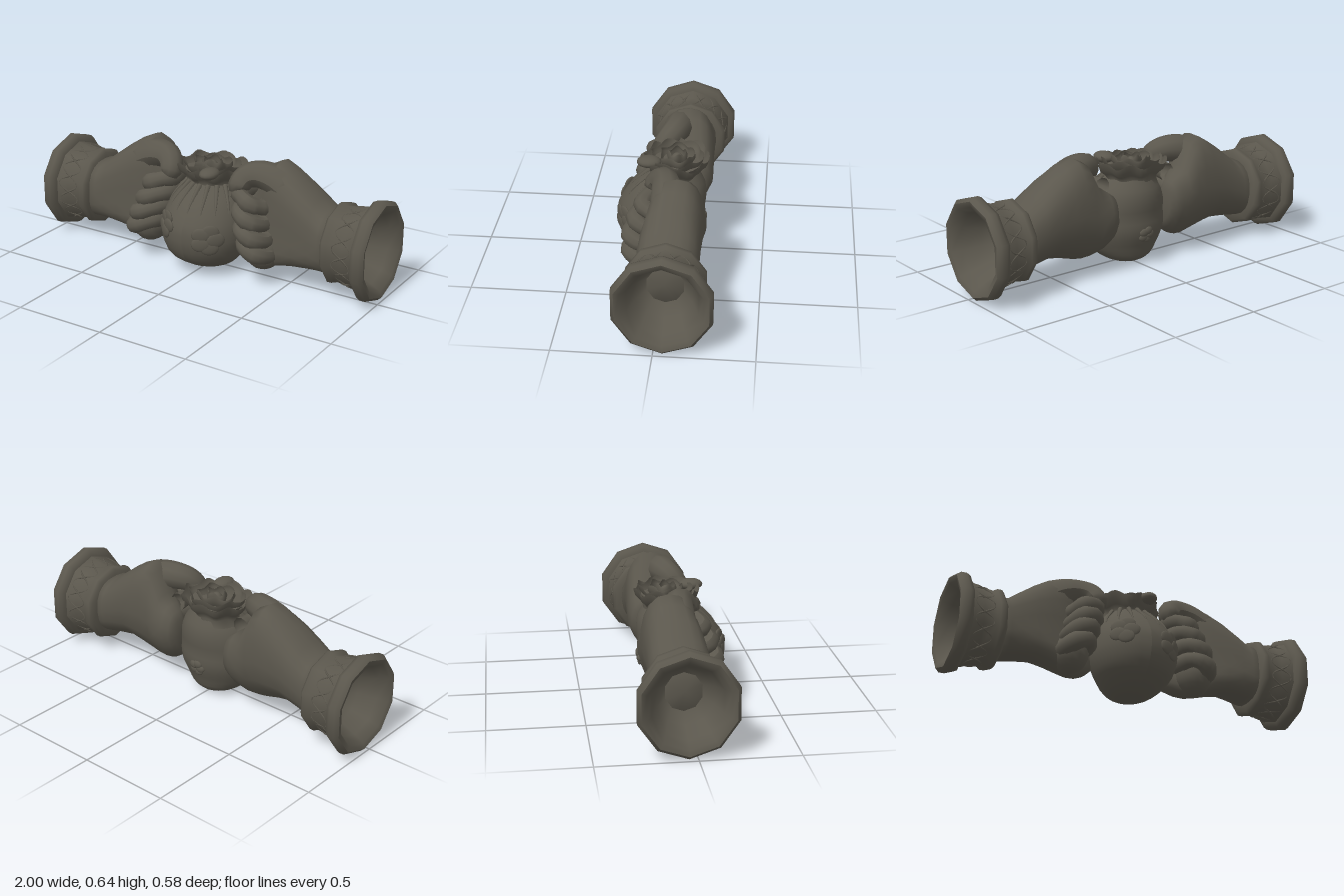
import * as THREE from 'three';
import { toCreasedNormals, mergeVertices } from 'three/addons/utils/BufferGeometryUtils.js';

const stone = new THREE.MeshStandardMaterial({ color: 0x5b574d, side: THREE.DoubleSide });
stone.name = 'dark stone';

const add = (parent, name, geometry) => {
  const mesh = new THREE.Mesh(geometry, stone);
  mesh.name = name;
  parent.add(mesh);
  return mesh;
};

// Skin running along x through rounded sections [x, yCentre, zCentre, yRadius, zRadius],
// with the underside leaning forward
function loft(sections, side, n = 20) {
  const pos = [], index = [];
  const ends = [sections[0], ...sections, sections[sections.length - 1]];
  ends.forEach(([x, y, z, ry, rz], k) => {
    const s = k === 0 || k === ends.length - 1 ? 0 : 1;
    for (let i = 0; i < n; i++) {
      const a = i / n * Math.PI * 2, c = Math.cos(a), d = Math.sin(a);
      const py = y + s * ry * Math.sign(d) * Math.abs(d) ** 0.8;
      const lean = 0.4 * Math.max(0, 0.28 - py) * Math.min(1, Math.max(0, (0.75 - x) / 0.2));
      pos.push(side * x, py, z + lean + s * rz * Math.sign(c) * Math.abs(c) ** 0.8);
    }
  });
  for (let k = 0; k < ends.length - 1; k++) {
    for (let i = 0; i < n; i++) {
      const a = k * n + i, b = k * n + (i + 1) % n, c = a + n, d = b + n;
      if (side > 0) index.push(a, b, c, b, d, c);
      else index.push(a, c, b, b, c, d);
    }
  }
  const g = new THREE.BufferGeometry();
  g.setAttribute('position', new THREE.Float32BufferAttribute(pos, 3));
  g.setIndex(index);
  g.computeVertexNormals();
  return g;
}

// Tube whose thickness follows width(t), used for fingers, thumbs and pleats
function limb(points, radius, width, side, tension = 0.5) {
  const curve = new THREE.CatmullRomCurve3(
    points.map(([x, y, z]) => new THREE.Vector3(side * x, y, z)), false, 'catmullrom', tension);
  const n = 22, sides = 10;
  const g = new THREE.TubeGeometry(curve, n, radius, sides);
  const p = g.attributes.position, v = new THREE.Vector3();
  for (let i = 0; i <= n; i++) {
    const centre = curve.getPointAt(i / n);
    for (let j = 0; j <= sides; j++) {
      const k = i * (sides + 1) + j;
      v.fromBufferAttribute(p, k).sub(centre).multiplyScalar(width(i / n)).add(centre);
      p.setXYZ(k, v.x, v.y, v.z);
    }
  }
  g.computeVertexNormals();
  return g;
}

const blob = (x, y, z, rx, ry, rz) =>
  new THREE.SphereGeometry(1, 14, 10).scale(rx, ry, rz).translate(x, y, z);

// Ten-sided hollow cuff with two raised rims and a faint crossed strap pattern
function addCuff(parent, side) {
  const cy = 0.275, cz = -0.045, flat = 0.96;
  const profile = [[0.15, 0.73], [0.2, 0.733], [0.218, 0.75], [0.218, 0.775], [0.205, 0.79], [0.212, 0.86],
    [0.23, 0.92], [0.258, 0.928], [0.269, 0.95], [0.269, 0.98], [0.25, 1], [0.22, 0.992],
    [0.19, 0.94], [0.15, 0.85], [0.1, 0.79], [0, 0.78]];
  const lathe = new THREE.LatheGeometry(profile.map(([r, x]) => new THREE.Vector2(r, x)), 10, Math.PI / 2);
  lathe.rotateZ(-side * Math.PI / 2).scale(1, 1, flat).translate(0, cy, cz);
  lathe.deleteAttribute('normal');
  lathe.deleteAttribute('uv');
  add(parent, 'cuff', toCreasedNormals(mergeVertices(lathe), 1));

  const step = Math.PI / 5;
  for (const phase of [0, Math.PI]) {
    const points = [];
    for (let i = 0; i < 80; i++) {
      const a = i / 80 * Math.PI * 2;
      const wave = Math.cos(7 * a + phase);
      const r = (0.212 + 0.01 * wave) * Math.cos(step / 2) / Math.cos(a % step - step / 2);
      points.push(new THREE.Vector3(side * (0.855 + 0.055 * wave), cy + r * Math.cos(a), cz + flat * r * Math.sin(a)));
    }
    const path = new THREE.CatmullRomCurve3(points, true);
    add(parent, 'cuffStrap', new THREE.TubeGeometry(path, 120, 0.005, 5, true));
  }
}

function addHand(parent, side) {
  // Forearm, palm and back of the hand
  add(parent, 'palm', loft([
    [0.79, 0.275, -0.037, 0.165, 0.16], [0.70, 0.283, -0.04, 0.163, 0.157], [0.64, 0.308, -0.042, 0.184, 0.157],
    [0.55, 0.342, -0.047, 0.218, 0.153], [0.47, 0.36, -0.057, 0.253, 0.148], [0.40, 0.365, -0.066, 0.28, 0.14],
    [0.345, 0.345, -0.078, 0.27, 0.13], [0.29, 0.29, -0.093, 0.205, 0.115], [0.235, 0.285, -0.11, 0.17, 0.098],
    [0.195, 0.29, -0.12, 0.135, 0.075], [0.175, 0.29, -0.12, 0.09, 0.045]], side));
  add(parent, 'palmHeel', blob(side * 0.36, 0.175, 0.05, 0.1, 0.105, 0.105));

  // Four fingers curled towards the front
  const thickness = t => 0.95 + 0.08 * Math.cos(t * Math.PI * 6);
  for (let i = 0; i < 4; i++) {
    const y = 0.462 - i * 0.079, dx = [0, 0.012, 0.035, 0.055][i], dz = [-0.065, -0.025, 0, 0][i];
    add(parent, 'finger', limb([
      [0.22 + dx, y, -0.08], [0.215 + dx, y, 0.06], [0.245 + dx, y, 0.16 + dz],
      [0.31 + dx, y - 0.025, 0.183 + dz], [0.355 + dx * 1.1, y - 0.05, 0.12 + dz],
      [0.35 + dx, y - 0.055, 0.02]], 0.047, thickness, side, 0.35));
  }

  // Thumb growing out of the palm and arching over the index finger
  add(parent, 'thumb', limb([
    [0.54, 0.44, -0.03], [0.45, 0.51, -0.025], [0.37, 0.552, -0.015], [0.29, 0.565, 0],
    [0.235, 0.548, 0.03], [0.212, 0.505, 0.065], [0.22, 0.465, 0.085]], 0.105,
  t => Math.min(1, 0.2 + 3 * t) * (1 - 0.5 * t) * (t > 0.9 ? Math.sqrt(Math.max(0, 1 - ((t - 0.9) / 0.1) ** 2)) : 1), side));
}

// Wavy open cup used for the gathered neck and the petals
function frill(profile, waves, radial, lift, phase) {
  const g = new THREE.LatheGeometry(profile.map(([r, y]) => new THREE.Vector2(r, y)), 60);
  const p = g.attributes.position;
  const y0 = profile[0][1], y1 = profile[profile.length - 1][1];
  for (let i = 0; i < p.count; i++) {
    const x = p.getX(i), y = p.getY(i), z = p.getZ(i);
    const a = Math.atan2(x, z), t = (y - y0) / (y1 - y0);
    const wave = Math.cos(waves * a + phase) + 0.4 * Math.cos(3 * a + phase * 2);
    const k = 1 + radial * wave * (0.3 + 0.7 * t);
    p.setXYZ(i, x * k, y + lift * t * Math.sin(waves * a + phase), z * k * 0.87);
  }
  g.computeVertexNormals();
  return g;
}

function addPouch(parent) {
  // Round body, drawn in slightly at the top
  const body = [[0, 0.003], [0.07, 0.006], [0.14, 0.037], [0.2, 0.1], [0.232, 0.18], [0.235, 0.25],
    [0.222, 0.33], [0.192, 0.4], [0.152, 0.45], [0.125, 0.48]];
  const g = new THREE.LatheGeometry(new THREE.SplineCurve(body.map(([r, y]) => new THREE.Vector2(r, y))).getPoints(22), 28);
  const p = g.attributes.position;
  for (let i = 0; i < p.count; i++) {
    const y = p.getY(i);
    p.setZ(i, p.getZ(i) + 0.05 - 0.35 * Math.max(0, y - 0.28) - 0.6 * Math.max(0, 0.1 - y));
  }
  g.computeVertexNormals();
  add(parent, 'pouchBody', g);

  // Raised ragged patches on the front and back
  const patches = [[-0.62, 0.28, 1], [0.6, 0.24, 1.1], [Math.PI, 0.18, 0.6]];
  for (const [a, y, s] of patches) {
    for (let i = 0; i < 5; i++) {
      const b = a + 0.17 * s * Math.cos(i * 2.5), h = y + 0.04 * s * Math.sin(i * 2.5);
      const r = Math.sqrt(0.235 ** 2 - (h - 0.23) ** 2);
      const bump = add(parent, 'patch', blob(0, 0, 0, 0.045 * s, 0.037 * s, 0.012));
      bump.position.set(r * Math.sin(b), h, 0.05 + r * Math.cos(b));
      bump.rotation.y = b;
    }
  }

  // Gathered neck opening into ruffled petals
  const cx = -0.012, cz = -0.032;
  const layers = [
    ['ruffle', [[0.15, 0.43], [0.135, 0.47], [0.155, 0.5], [0.182, 0.525], [0.192, 0.56]], 8, 0.05, 0.014, 0.3],
    ['outerPetals', [[0.06, 0.47], [0.12, 0.51], [0.15, 0.545], [0.155, 0.572]], 6, 0.07, 0.01, 1.4],
    ['middlePetals', [[0.04, 0.48], [0.085, 0.52], [0.105, 0.555], [0.1, 0.577]], 5, 0.09, 0.01, 2.5],
    ['innerPetals', [[0.02, 0.48], [0.05, 0.52], [0.06, 0.56], [0.05, 0.582]], 4, 0.1, 0.01, 0.8]];
  for (const [name, profile, ...shape] of layers) add(parent, name, frill(profile, ...shape).translate(cx, 0, cz));
  add(parent, 'bud', blob(cx, 0.53, cz, 0.035, 0.045, 0.035));
  add(parent, 'petalFloor', new THREE.CylinderGeometry(0.15, 0.12, 0.05, 24).scale(1, 1, 0.87).translate(cx, 0.505, cz));
  add(parent, 'foldedPetal', blob(0.06, 0.555, 0.11, 0.05, 0.03, 0.065));

  // Pleats falling from the neck
  for (let i = 0; i < 7; i++) {
    const a = (i - 3) * 0.36;
    const path = [[0.127, 0.48, -0.02], [0.153, 0.45, -0.01], [0.192, 0.4, 0.008], [0.21, 0.36, 0.022]]
      .map(([r, y, dz]) => [r * Math.sin(a), y, r * Math.cos(a) + dz]);
    add(parent, 'pleat', limb(path, 0.014, t => 1 - 0.8 * t, 1));
  }
}

export function createModel() {
  const model = new THREE.Group();
  model.name = 'handsHoldingPouch';
  for (const side of [1, -1]) {
    const arm = new THREE.Group();
    arm.name = side > 0 ? 'leftArm' : 'rightArm';
    addCuff(arm, side);
    addHand(arm, side);
    model.add(arm);
  }
  const pouch = new THREE.Group();
  pouch.name = 'pouch';
  addPouch(pouch);
  model.add(pouch);
  return model;
}
